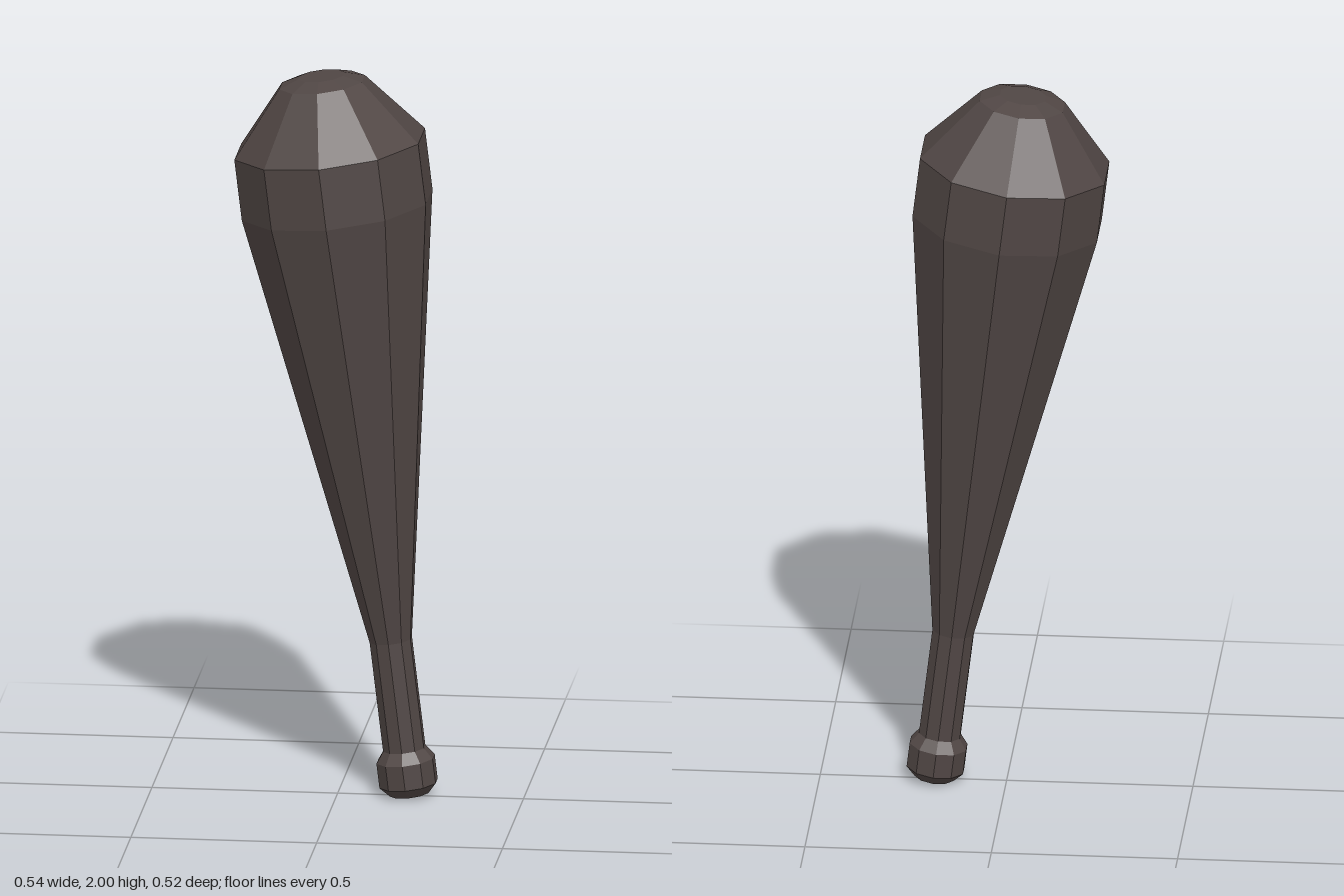
import * as THREE from 'three';

export function createModel() {
  const wood = new THREE.MeshStandardMaterial({ color: 0x504644 });
  wood.name = 'dark wood';
  wood.flatShading = true;

  const club = new THREE.Group();
  club.name = 'club';

  // Ten-sided turned section from [radius, height] pairs, bottom to top
  const turned = (name, profile) => {
    const points = profile.map(([r, y]) => new THREE.Vector2(r, y));
    const mesh = new THREE.Mesh(new THREE.LatheGeometry(points, 10), wood);
    mesh.name = name;
    club.add(mesh);
  };

  turned('pommel', [[0, 0], [0.055, 0], [0.08, 0.027], [0.08, 0.095], [0.058, 0.125]]);
  turned('grip', [[0.058, 0.125], [0.058, 0.428]]);
  turned('barrel', [[0.058, 0.428], [0.262, 1.639], [0.262, 1.808]]);
  turned('roundedTip', [[0.262, 1.808], [0.118, 1.98], [0.064, 1.998], [0, 1.998]]);

  // The whole club leans towards -x
  club.rotation.z = THREE.MathUtils.degToRad(6.85);
  club.position.set(0.194, 0.008, 0);

  const model = new THREE.Group();
  model.name = 'leaningClub';
  model.add(club);
  return model;
}
